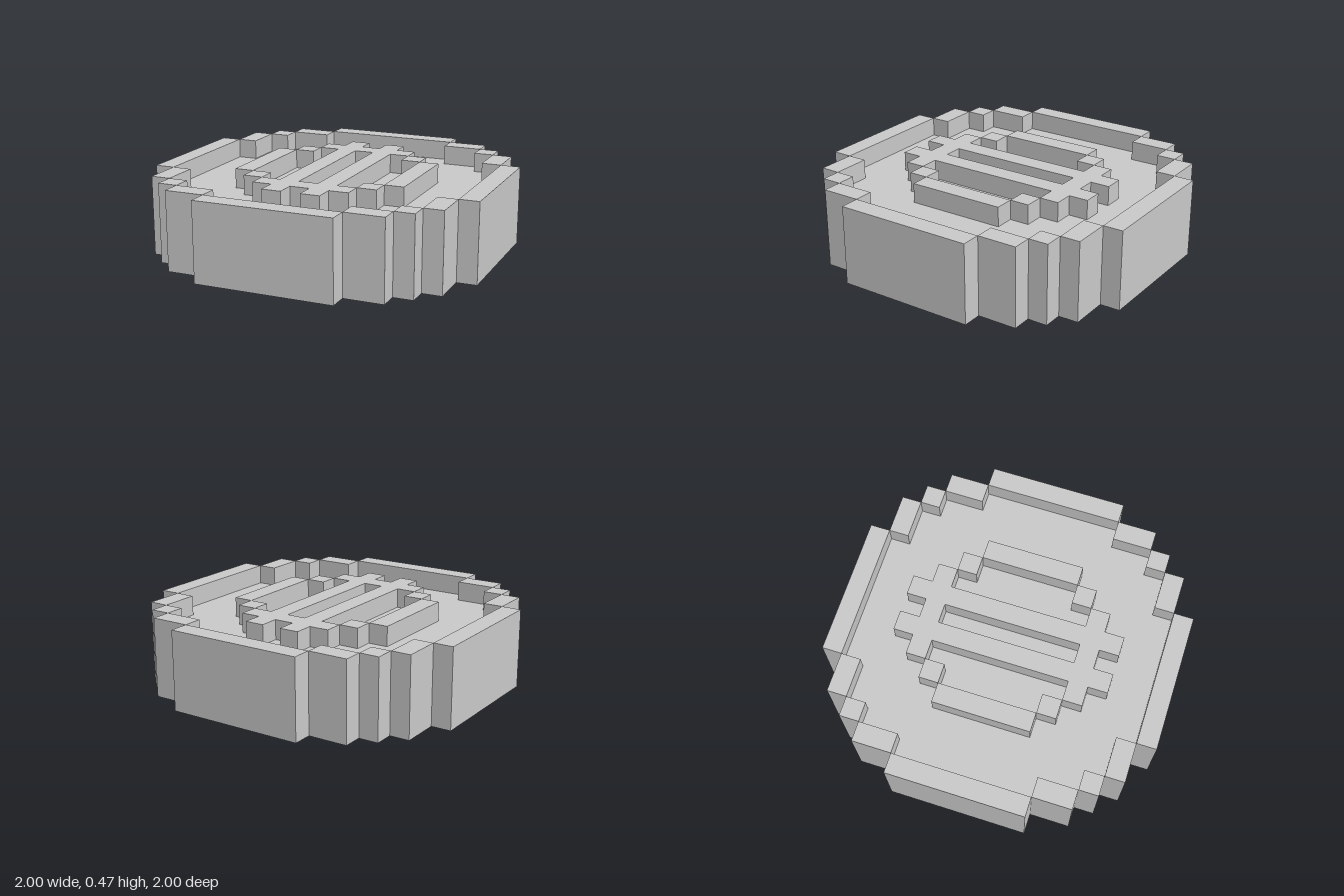
import * as THREE from 'three';

const U = 2 / 17; // one block of the 17-block-wide grid
const material = new THREE.MeshStandardMaterial({ color: 0xcccccc, flatShading: true });

// Repeats a first-quadrant outline in all four quadrants, counter-clockwise
function mirroredShape(quarter) {
  const map = (list, sx, sy) => list.map(([x, y]) => new THREE.Vector2(x * sx * U, y * sy * U));
  const back = [...quarter].reverse();
  return new THREE.Shape([
    ...map(quarter, 1, 1), ...map(back, -1, 1), ...map(quarter, -1, -1), ...map(back, 1, -1),
  ]);
}

// Slab with a plan outline, standing between two block heights
function slab(name, shape, y0, y1) {
  const geometry = new THREE.ExtrudeGeometry(shape, { depth: (y1 - y0) * U, bevelEnabled: false });
  geometry.rotateX(-Math.PI / 2);
  geometry.translate(0, y0 * U, 0);
  const mesh = new THREE.Mesh(geometry, material);
  mesh.name = name;
  return mesh;
}

// Box from block coordinates
function block(name, x0, x1, z0, z1, y0, y1) {
  const mesh = new THREE.Mesh(
    new THREE.BoxGeometry((x1 - x0) * U, (y1 - y0) * U, (z1 - z0) * U), material);
  mesh.position.set((x0 + x1) / 2 * U, (y0 + y1) / 2 * U, (z0 + z1) / 2 * U);
  mesh.name = name;
  return mesh;
}

// Stepped rim, four blocks high
function createRim() {
  const rim = new THREE.Group();
  rim.name = 'rim';
  for (const s of [-1, 1]) {
    const [a, b] = s > 0 ? [7.5, 8.5] : [-8.5, -7.5];
    rim.add(block('rimEnd', -3.5, 3.5, a, b, 0, 4));
    rim.add(block('rimSide', a, b, -3.5, 3.5, 0, 4));
    for (const t of [-1, 1]) {
      for (const [x, z, w, d] of [[4.5, 7, 2, 1], [6, 6, 1, 1], [7, 4.5, 1, 2]]) {
        rim.add(block('rimStep', s * x - w / 2, s * x + w / 2, t * z - d / 2, t * z + d / 2, 0, 4));
      }
    }
  }
  return rim;
}

// Raised emblem: slotted centre with prongs, corner blocks and side bars
function createEmblem(name, y0) {
  const emblem = new THREE.Group();
  emblem.name = name;
  const centre = mirroredShape([
    [1.5, 3.5], [2.5, 3.5], [2.5, 4.5], [1.5, 4.5], [1.5, 5.5], [0.5, 5.5], [0.5, 4.5],
  ]);
  centre.holes.push(mirroredShape([[0.5, 3.5]]));
  emblem.add(slab('emblemCentre', centre, y0, y0 + 1));
  for (const s of [-1, 1]) {
    emblem.add(block('emblemSideBar', s * 4 - 0.5, s * 4 + 0.5, -2.5, 2.5, y0, y0 + 1));
    for (const t of [-1, 1]) {
      emblem.add(block('emblemCorner', s * 3 - 0.5, s * 3 + 0.5, t * 3 - 0.5, t * 3 + 0.5, y0, y0 + 1));
    }
  }
  return emblem;
}

export function createModel() {
  const coin = new THREE.Group();
  coin.name = 'coin';
  // Recessed disc filling the rim
  const disc = mirroredShape([
    [7.5, 3.5], [6.5, 3.5], [6.5, 5.5], [5.5, 5.5], [5.5, 6.5], [3.5, 6.5], [3.5, 7.5],
  ]);
  coin.add(slab('disc', disc, 1, 3));
  coin.add(createRim());
  coin.add(createEmblem('topEmblem', 3), createEmblem('bottomEmblem', 0));
  return coin;
}
